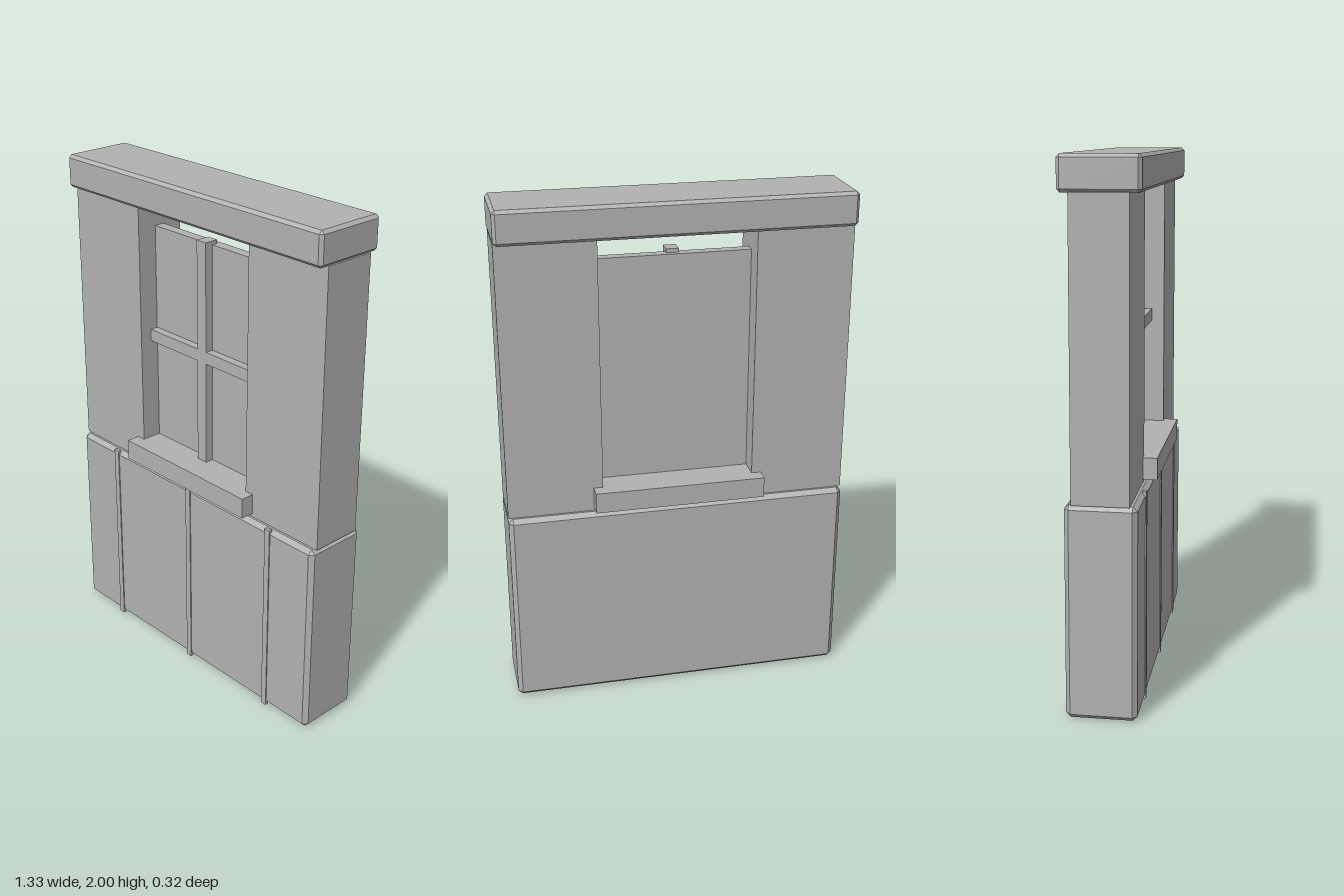
import * as THREE from 'three';
import { ConvexGeometry } from 'three/addons/geometries/ConvexGeometry.js';

const plaster = new THREE.MeshStandardMaterial({ color: 0xb2b2b2 });
plaster.name = 'plainGrey';

// Box with a single flat chamfer on every edge
function chamferedBox(w, h, d, c) {
  const points = [];
  for (const x of [-1, 1]) for (const y of [-1, 1]) for (const z of [-1, 1]) {
    for (let axis = 0; axis < 3; axis++) {
      const inset = [c, c, c];
      inset[axis] = 0;
      points.push(new THREE.Vector3(
        x * (w / 2 - inset[0]), y * (h / 2 - inset[1]), z * (d / 2 - inset[2])));
    }
  }
  return new ConvexGeometry(points);
}

export function createModel() {
  const model = new THREE.Group();
  model.name = 'windowWall';

  // Adds a box given by its extents, chamfered if asked
  function addBox(name, [x0, x1], [y0, y1], [z0, z1], chamfer = 0) {
    const size = [x1 - x0, y1 - y0, z1 - z0];
    const geometry = chamfer ? chamferedBox(...size, chamfer) : new THREE.BoxGeometry(...size);
    const mesh = new THREE.Mesh(geometry, plaster);
    mesh.name = name;
    mesh.position.set((x0 + x1) / 2, (y0 + y1) / 2, (z0 + z1) / 2);
    model.add(mesh);
  }

  // Lower panel and the cap on top
  addBox('basePanel', [-0.664, 0.664], [0.002, 0.8], [-0.13, 0.13], 0.017);
  addBox('topCap', [-0.665, 0.665], [1.872, 2], [-0.144, 0.144], 0.012);

  // Thin upright battens on the front of the base
  for (const x of [-0.44, 0, 0.44]) {
    addBox('baseBatten', [x - 0.0125, x + 0.0125], [0, 0.8], [0.12, 0.134]);
  }

  // Wall on both sides of the opening
  addBox('leftWall', [0.295, 0.664], [0.8, 1.875], [-0.104, 0.104]);
  addBox('rightWall', [-0.664, -0.295], [0.8, 1.875], [-0.104, 0.104]);

  // Window pane, glazing bars and sill
  addBox('windowPane', [-0.295, 0.295], [0.88, 1.775], [-0.02, 0.022]);
  addBox('verticalBar', [-0.024, 0.024], [0.88, 1.79], [0, 0.056]);
  addBox('horizontalBar', [-0.295, 0.295], [1.313, 1.361], [0, 0.055]);
  addBox('windowSill', [-0.332, 0.332], [0.813, 0.895], [-0.158, 0.158]);

  return model;
}
